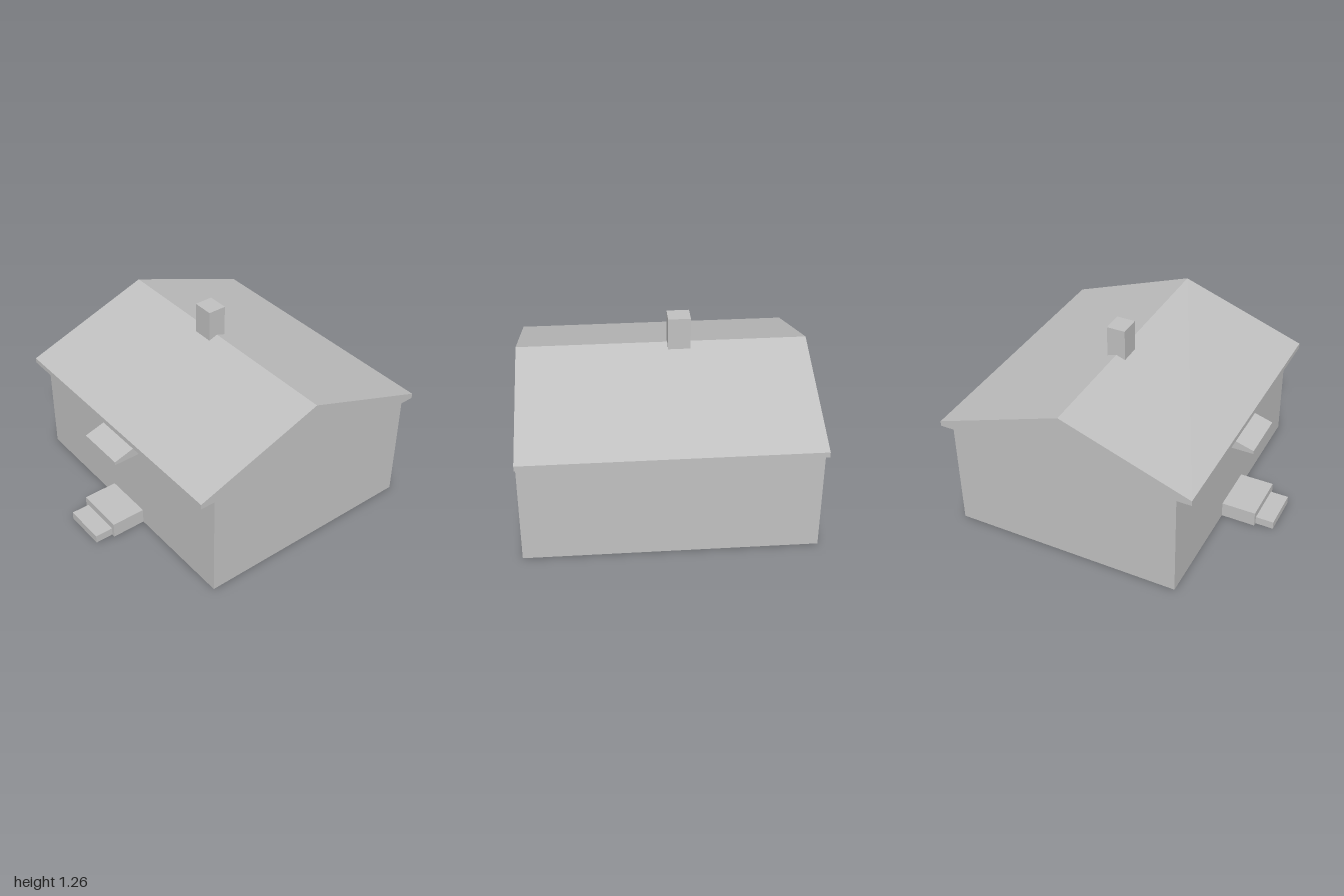
import * as THREE from 'three';

const grey = new THREE.MeshStandardMaterial({ color: 0xc0c0c0, side: THREE.DoubleSide });
grey.name = 'plain grey';

const shapeOf = (pts) => new THREE.Shape(pts.map(([a, b]) => new THREE.Vector2(a, b)));

function add(parent, name, geometry) {
  const mesh = new THREE.Mesh(geometry, grey);
  mesh.name = name;
  parent.add(mesh);
  return mesh;
}

// Sweeps a [z, y] profile across the width; faces point outward when it runs from front to back over the top
function strip(profile, halfWidth) {
  const pos = [];
  for (let i = 0; i < profile.length - 1; i++) {
    const [z0, y0] = profile[i], [z1, y1] = profile[i + 1];
    const a = [-halfWidth, y0, z0], b = [halfWidth, y0, z0];
    const c = [halfWidth, y1, z1], d = [-halfWidth, y1, z1];
    pos.push(...a, ...b, ...c, ...a, ...c, ...d);
  }
  const geo = new THREE.BufferGeometry();
  geo.setAttribute('position', new THREE.Float32BufferAttribute(pos, 3));
  geo.computeVertexNormals();
  return geo;
}

// Flat end faces on both sides, from a closed [z, y] outline
function addEnds(parent, name, outline, halfWidth) {
  for (const s of [1, -1]) {
    const geo = new THREE.ShapeGeometry(shapeOf(outline.map(([z, y]) => [-s * z, y])));
    geo.rotateY(s * Math.PI / 2).translate(s * halfWidth, 0, 0);
    add(parent, (s > 0 ? 'left' : 'right') + name, geo);
  }
}

// Upright face on the ground with a notch where the next step meets it
function notchedFace(halfWidth, height, notchHalf, notchHeight) {
  return shapeOf([
    [-halfWidth, 0], [-notchHalf, 0], [-notchHalf, notchHeight], [notchHalf, notchHeight],
    [notchHalf, 0], [halfWidth, 0], [halfWidth, height], [-halfWidth, height],
  ]);
}

export function createModel() {
  const model = new THREE.Group();
  model.name = 'house';

  const W = 0.93, front = 0.645, back = -0.905;
  const eaveY = 0.73, lipY = 0.765, ridgeY = 1.075, ridgeZ = -0.13;
  const eaveFront = 0.743, eaveBack = -1;
  const porchW = 0.168;
  const upperZ = 0.877, upperY = 0.105, lowerW = 0.143, lowerY = 0.055;
  const canopyBottom = 0.595, canopyLip = 0.618, canopyTop = 0.675, canopyZ = 0.835;

  // House shell, open underneath
  const roof = [[front, eaveY], [eaveFront, eaveY], [eaveFront, lipY], [ridgeZ, ridgeY],
    [eaveBack, lipY], [eaveBack, eaveY], [back, eaveY]];
  add(model, 'roof', strip(roof, W));
  add(model, 'backWall', strip([[back, eaveY], [back, 0]], W));
  addEnds(model, 'GableWall', [[front, 0], ...roof, [back, 0]], W);

  // Front wall, open behind the canopy and the steps
  const wall = notchedFace(W, eaveY, porchW, upperY);
  wall.holes.push(shapeOf([[-porchW, canopyBottom], [porchW, canopyBottom],
    [porchW, canopyTop], [-porchW, canopyTop]]));
  add(model, 'frontWall', new THREE.ShapeGeometry(wall).translate(0, 0, front));

  // Sloped canopy over the entrance
  const canopy = new THREE.Group();
  canopy.name = 'canopy';
  const canopyProfile = [[front, canopyBottom], [canopyZ, canopyBottom],
    [canopyZ, canopyLip], [front, canopyTop]];
  add(canopy, 'canopyRoof', strip(canopyProfile, porchW));
  addEnds(canopy, 'CanopyEnd', canopyProfile, porchW);
  model.add(canopy);

  // Two entrance steps, hollow below
  const steps = new THREE.Group();
  steps.name = 'steps';
  add(steps, 'upperStepRiser',
    new THREE.ShapeGeometry(notchedFace(porchW, upperY, lowerW, lowerY)).translate(0, 0, upperZ));
  add(steps, 'upperStepTread', strip([[upperZ, upperY], [front, upperY]], porchW));
  addEnds(steps, 'UpperStepEnd', [[front, 0], [upperZ, 0], [upperZ, upperY], [front, upperY]], porchW);
  add(steps, 'lowerStep', strip([[1, 0], [1, lowerY], [upperZ, lowerY]], lowerW));
  addEnds(steps, 'LowerStepEnd', [[upperZ, 0], [1, 0], [1, lowerY], [upperZ, lowerY]], lowerW);
  model.add(steps);

  // Chimney astride the ridge
  const chimney = new THREE.Group();
  chimney.name = 'chimney';
  const cf = -0.067, cb = -0.193, cTop = 1.265, cBase = 1.053, cW = 0.072;
  add(chimney, 'chimneyStack', strip([[cf, cBase], [cf, cTop], [cb, cTop], [cb, cBase]], cW));
  addEnds(chimney, 'ChimneySide',
    [[cf, cBase], [cf, cTop], [cb, cTop], [cb, cBase], [ridgeZ, ridgeY]], cW);
  chimney.position.x = -0.106;
  model.add(chimney);

  return model;
}
